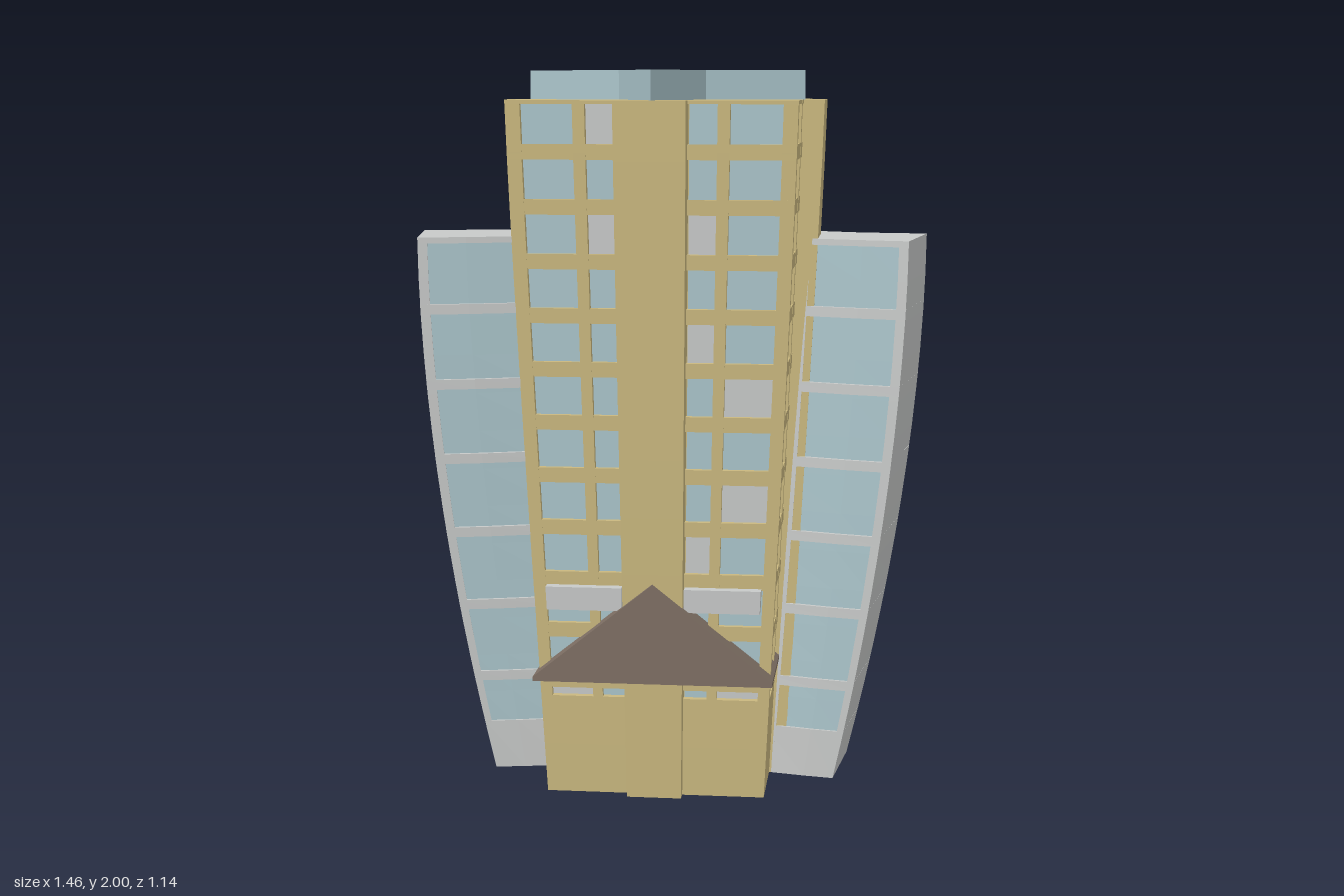
import * as THREE from 'three';
import { mergeGeometries } from 'three/addons/utils/BufferGeometryUtils.js';

const material = (name, color, side = THREE.FrontSide) =>
  Object.assign(new THREE.MeshStandardMaterial({ color, side }), { name });

// Closed solid through horizontal cross-sections; plan(y) returns [x, z] points.
function loft(plan, levels) {
  const flip = THREE.ShapeUtils.area(plan(levels[0]).map(p => new THREE.Vector2(...p))) < 0;
  const rings = levels.map(y => {
    const ring = plan(y).map(([x, z]) => [x, y, z]);
    return flip ? ring.reverse() : ring;
  });
  const out = [];
  const tri = (...pts) => pts.forEach(p => out.push(...p));
  for (let l = 0; l + 1 < rings.length; l++) {
    const a = rings[l], b = rings[l + 1];
    a.forEach((p, i) => {
      const j = (i + 1) % a.length;
      tri(p, b[i], b[j]);
      tri(p, b[j], a[j]);
    });
  }
  const cap = (ring, up) => {
    const flat = ring.map(p => new THREE.Vector2(p[0], p[2]));
    for (const [a, b, c] of THREE.ShapeUtils.triangulateShape(flat, [])) {
      if (up) tri(ring[a], ring[c], ring[b]);
      else tri(ring[a], ring[b], ring[c]);
    }
  };
  cap(rings[0], false);
  cap(rings[rings.length - 1], true);
  const g = new THREE.BufferGeometry();
  g.setAttribute('position', new THREE.Float32BufferAttribute(out, 3));
  g.computeVertexNormals();
  return g;
}

const range = (a, b, n) => Array.from({ length: n + 1 }, (_, i) => a + (b - a) * i / n);
const rect = (x0, x1, z0, z1) => [[x0, z0], [x1, z0], [x1, z1], [x0, z1]];

const TOP = 1.92, CZ = 0.135;
// The tower flares outwards with height.
const flare = y => 0.78 + 0.22 * (1 - Math.pow(Math.max(0, 1 - y / TOP), 1.15));

// Block on tower face k (0 front, 1 left, 2 back, 3 right): u along the face, d outwards.
function faceBlock(k, u0, u1, d0, d1, y0, y1, n = 1) {
  const c = [1, 0, -1, 0][k], s = [0, 1, 0, -1][k];
  return loft(y => rect(u0, u1, d0, d1).map(([u, d]) => {
    const f = flare(y);
    return [(u * c + d * s) * f, (d * c - u * s) * f + CZ];
  }), range(y0, y1, n));
}

export function createModel() {
  const tan = material('sandstone', 0xcab87f);
  const grey = material('pale grey', 0xc8cac9);
  const glass = material('pale blue glass', 0xabc5cb);
  const brown = material('brown roof', 0x7d6e63);
  const red = material('red brown', 0x70402f);

  const model = new THREE.Group();
  const add = (name, mat, ...geos) => {
    const mesh = new THREE.Mesh(geos.length > 1 ? mergeGeometries(geos) : geos[0], mat);
    mesh.name = name;
    model.add(mesh);
  };

  // Tower core, base storey and pilasters
  const W = 0.389;
  add('towerCore', tan, faceBlock(0, -0.36, 0.36, -0.36, 0.36, 0, TOP, 12));
  add('towerBase', tan, faceBlock(0, -W, W, -W, W, 0, 0.28, 2));
  add('pilasters', tan, ...[0, 1, 2, 3].map(k =>
    faceBlock(k, -0.097, 0.097, 0.3, k % 2 ? 0.445 : 0.432, 0, TOP, 12)));

  // Window grid
  const rows = range(0, 11, 11).map(i => {
    const y1 = 1.91 - 0.146 * i;
    return [Math.max(0.281, y1 - 0.105), y1];
  });
  const columns = [[-0.37, -0.21], [-0.177, -0.1], [0.1, 0.177], [0.21, 0.37]];
  // Blinds are drawn at these face-row-column places
  const blinds = new Set(['0-0-1', '0-2-1', '0-2-2', '0-4-2', '0-5-3', '0-7-3', '0-8-2', '0-11-0',
    '0-11-3', '1-0-1', '1-6-0', '1-9-0', '2-3-0', '2-4-3', '2-6-2', '2-8-1', '3-2-3', '3-4-0', '3-7-2']);
  const frames = [], panes = [], blindPanes = [];
  for (let k = 0; k < 4; k++) {
    for (const m of [-1, 1]) {
      for (const [a, b] of [[0.37, W], [0.177, 0.21]]) {
        frames.push(faceBlock(k, Math.min(a * m, b * m), Math.max(a * m, b * m), 0.35, W, 0.28, TOP, 12));
      }
    }
    rows.forEach(([y0, y1], r) => {
      const above = r ? rows[r - 1][0] : TOP;
      frames.push(faceBlock(k, -W, W, 0.35, W - 0.001, y1, above));
      columns.forEach(([u0, u1], c) => {
        if (k === 1 && r >= 1 && r <= 3) return; // blank bays
        const list = blinds.has(`${k}-${r}-${c}`) ? blindPanes : panes;
        list.push(faceBlock(k, u0, u1, 0.36, 0.368, y0, y1));
      });
    });
  }
  add('windowFrames', tan, ...frames);
  add('windowPanes', glass, ...panes);
  add('windowBlinds', grey, ...blindPanes);

  // Balconies above the porch roof
  add('balconies', grey, ...[0, 2].flatMap(k => [
    faceBlock(k, -0.345, -0.1, 0.38, 0.425, 0.535, 0.6),
    faceBlock(k, 0.1, 0.345, 0.38, 0.425, 0.535, 0.6)]));

  // Roof: plant room and four-pointed star
  add('plantRoom', tan, loft(() => rect(-0.19, 0.185, -0.24, 0.05), [1.91, 1.97]));
  add('roofStar', glass, loft(() => range(0, 7, 7).map(i => {
    const r = i % 2 ? 0.17 : 0.387, a = i * Math.PI / 4;
    return [r * Math.cos(a), CZ + r * Math.sin(a)];
  }), [1.92, 2]));

  // Curved side wings
  const H = 1.54;
  const wingPlan = [[0.36, -0.11], [0.545, -0.035], [0.73, -0.01], [0.68, 0.31], [0.55, 0.275], [0.36, 0.21]];
  const inset = [[0.36, -0.095], [0.541, -0.02], [0.716, 0.004], [0.67, 0.294], [0.553, 0.261], [0.36, 0.196]];
  const endSlab = [[0.704, -0.0135], [0.73, -0.01], [0.68, 0.31], [0.654, 0.303]];
  const backPost = [[0.704, -0.0135], [0.73, -0.01], [0.7265, 0.015], [0.7, 0.012]];
  const frontPost = [[0.6585, 0.28], [0.6845, 0.285], [0.68, 0.31], [0.654, 0.303]];
  const innerPost = [[0.36, -0.11], [0.41, -0.0895], [0.41, 0.2271], [0.36, 0.21]];
  const bend = (pts, side) => y => {
    const outer = 0.52 + 0.21 * (1 - Math.pow(Math.max(0, 1 - y / H), 1.8));
    const inner = 0.28 + 0.08 * y / H;
    const g = (outer - inner) / 0.37;
    return pts.map(([x, z]) =>
      [side * (inner + (x - 0.36) * g), z > 0.2 ? 0.2 + (z - 0.2) * g * g : z]);
  };
  for (const side of [1, -1]) {
    const name = side > 0 ? 'left' : 'right';
    const levels = range(0, H, 14);
    add(name + 'WingGlass', glass, loft(bend(inset, side), range(0.01, H - 0.005, 14)));
    const bands = [[0, 0.14], [1.523, H]];
    for (let i = 0; i < 6; i++) bands.push([0.262 + 0.2125 * i, 0.29 + 0.2125 * i]);
    add(name + 'WingBands', grey, ...bands.map(b => loft(bend(wingPlan, side), b)));
    // One end wall is solid, the other glazed between corner posts
    const uprights = side > 0 ? [endSlab, innerPost] : [backPost, frontPost, innerPost];
    add(name + 'WingUprights', grey, ...uprights.map(p => loft(bend(p, side), levels)));
  }

  // Gabled porch roof running through the tower
  add('porchRoof', brown, loft(y => {
    const w = 0.33 * (0.615 - y) / 0.265;
    return rect(-w, w, -0.345, 0.52);
  }, [0.35, 0.615]));
  add('porchEaves', brown, loft(() => rect(-0.33, 0.33, -0.345, 0.52), [0.338, 0.35]));

  // Rear annex with outward-leaning walls and a ridge longer than its eaves
  const lean = y => y / 0.25;
  add('annexWalls', tan, loft(y => {
    const t = lean(y);
    return rect(-0.485 - 0.04 * t, 0.215 + 0.035 * t, -0.46 - 0.06 * t, -0.165 + 0.02 * t);
  }, [0, 0.25]));
  add('annexEndPanel', red, loft(y => {
    const t = lean(y), x = -0.485 - 0.04 * t;
    return rect(x - 0.006, x + 0.002, -0.445 - 0.06 * t, -0.18 + 0.02 * t);
  }, [0.005, 0.24]));
  add('annexRoof', brown, loft(y => {
    const t = (y - 0.237) / 0.228;
    return rect(-0.555 - 0.05 * t, 0.28 + 0.045 * t, -0.57 + 0.195 * t, -0.12 - 0.255 * t);
  }, [0.237, 0.465]));

  return model;
}
